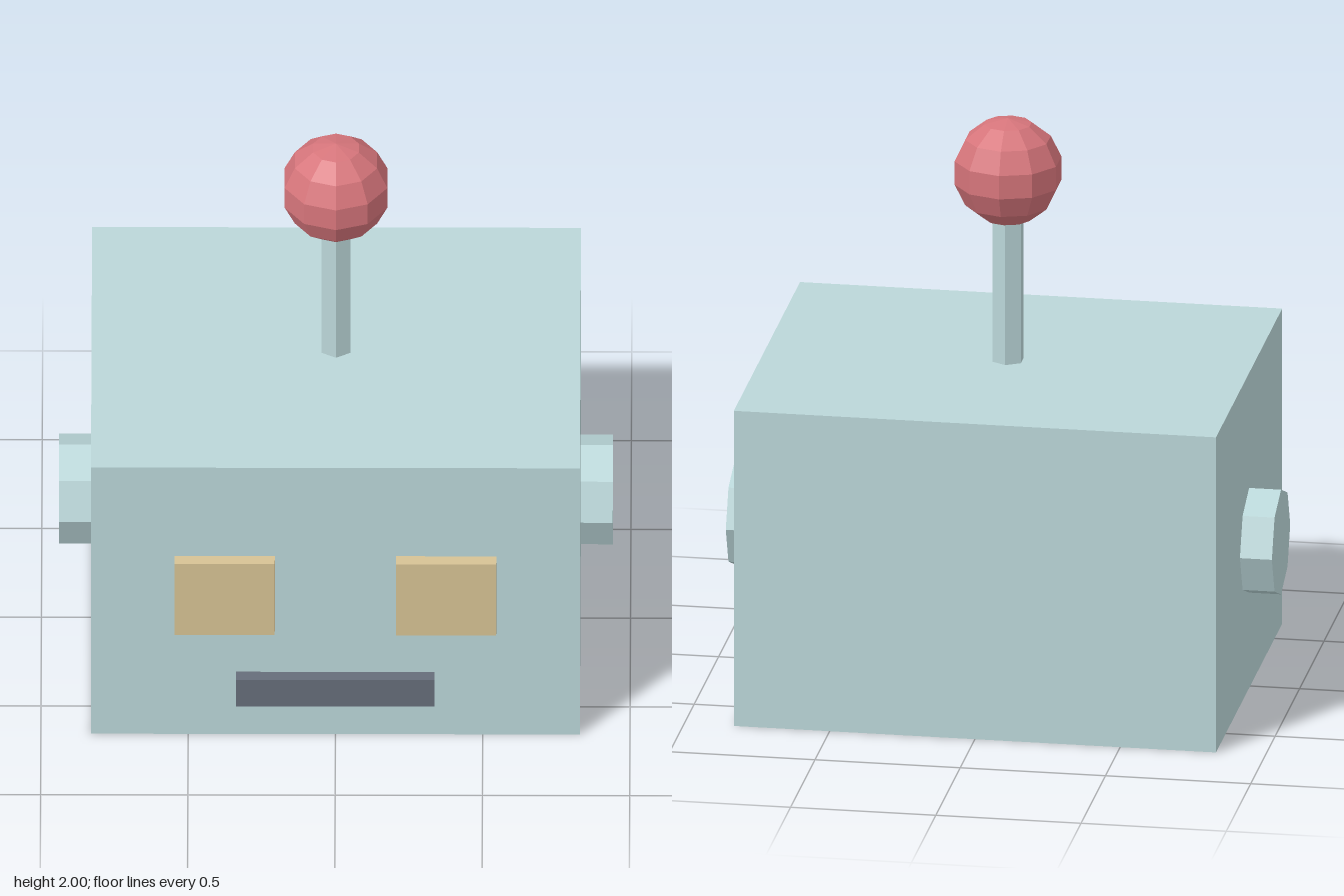
import * as THREE from 'three';

const paint = (name, color) => {
  const m = new THREE.MeshStandardMaterial({ color });
  m.name = name;
  m.flatShading = true;
  return m;
};

export function createModel() {
  const shell = paint('paleTealShell', 0xbad6d8);
  const sand = paint('sandEyes', 0xd6c294);
  const slate = paint('slateMouth', 0x666d7a);
  const red = paint('redBall', 0xd6757b);

  const group = new THREE.Group();
  group.name = 'robotHead';
  const midZ = -0.022; // centre of the head's depth
  const frontZ = 0.655; // front face of the head

  const add = (name, geometry, material, x, y, z) => {
    const mesh = new THREE.Mesh(geometry, material);
    mesh.name = name;
    mesh.position.set(x, y, z);
    group.add(mesh);
    return mesh;
  };

  // Box head
  add('head', new THREE.BoxGeometry(1.66, 1.132, 1.355), shell, 0, 0.566, midZ);

  // Eyes and octagonal ears, mirrored
  for (const [side, s] of [['left', 1], ['right', -1]]) {
    add(side + 'Eye', new THREE.BoxGeometry(0.34, 0.302, 0.055), sand, s * 0.376, 0.606, frontZ + 0.0185);
    const ear = add(side + 'Ear', new THREE.CylinderGeometry(0.188, 0.188, 0.13, 8), shell, s * 0.875, 0.531, midZ);
    ear.rotation.z = -s * Math.PI / 2;
  }

  // Mouth bar
  add('mouth', new THREE.BoxGeometry(0.674, 0.113, 0.055), slate, 0, 0.208, frontZ + 0.0185);

  // Hexagonal antenna with a faceted ball
  add('antennaRod', new THREE.CylinderGeometry(0.057, 0.057, 0.57, 6), shell, 0, 1.405, midZ);
  const ball = add('antennaBall', new THREE.SphereGeometry(0.188, 10, 7), red, 0, 1.812, midZ);
  ball.rotation.y = Math.PI / 2;

  return group;
}
